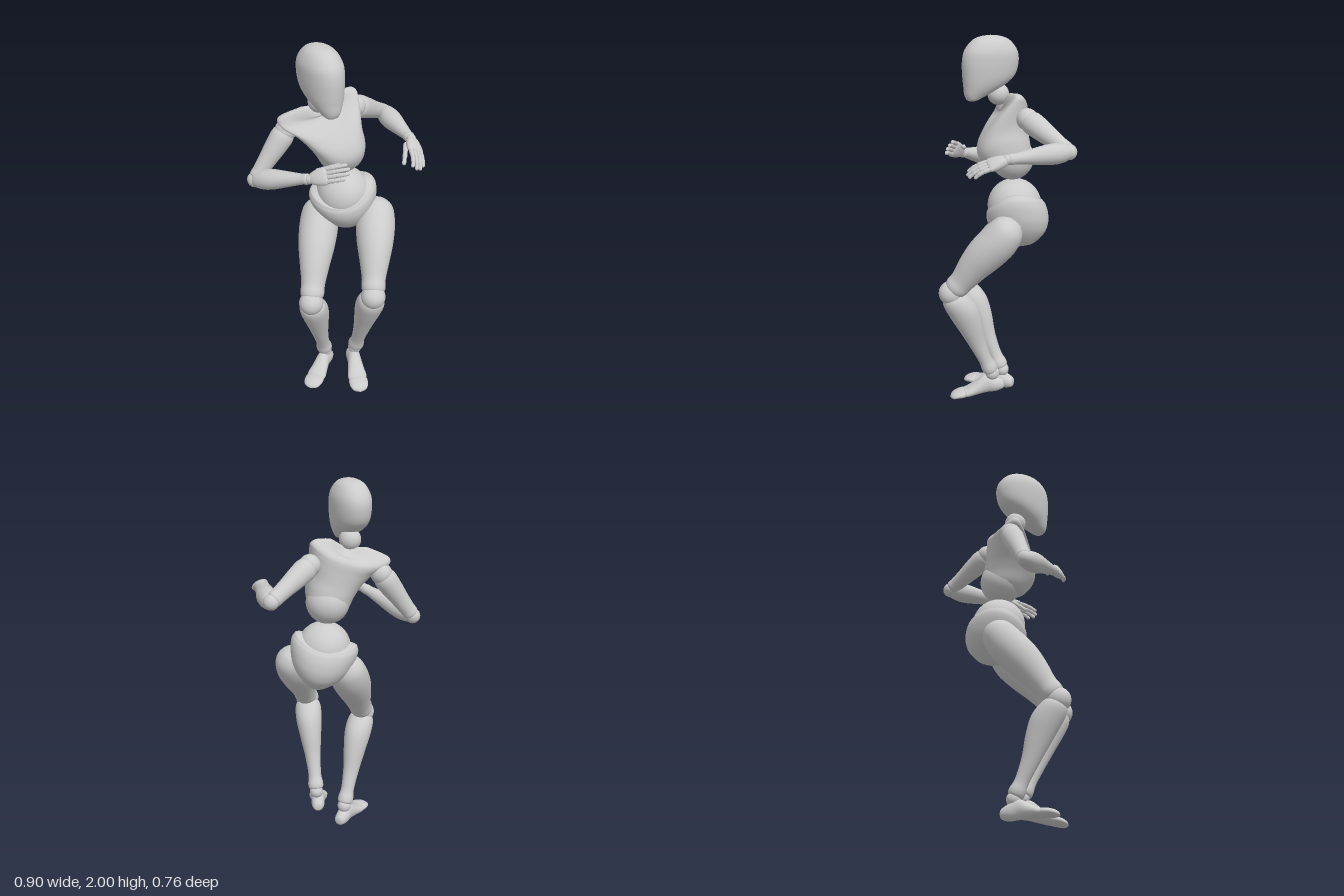
import * as THREE from 'three';

const V = (a) => new THREE.Vector3(...a);
const grey = new THREE.MeshStandardMaterial({ color: 0xcccccc, roughness: 0.7 });

// Matrix at origin o: Y along `up`, Z as near to `front` as possible
function frame(o, up, front) {
  const y = V(up).normalize();
  const x = y.clone().cross(V(front)).normalize();
  const z = x.clone().cross(y);
  return new THREE.Matrix4().makeBasis(x, y, z).setPosition(V(o));
}

// Smooth closed skin through sections [y, rx, rz, cz, cx]; saddle lifts the sides
function loft(sections, { n = 36, rows = 40, p = 2, saddle = 0 } = {}) {
  const spline = (f) => new THREE.CatmullRomCurve3(sections.map(f), false, 'catmullrom', 0.5);
  const size = spline((s) => new THREE.Vector3(s[0], s[1], s[2]));
  const mid = spline((s) => new THREE.Vector3(s[4] || 0, 0, s[3] || 0));
  const pos = [], idx = [];
  const pw = (v) => Math.sign(v) * Math.abs(v) ** (2 / p);
  for (let i = 0; i <= rows; i++) {
    const t = i / rows, s = size.getPoint(t), c = mid.getPoint(t);
    for (let j = 0; j < n; j++) {
      const a = (j / n) * Math.PI * 2, k = Math.cos(a), q = Math.sin(a);
      const lift = saddle * t * (k * k - 0.5) * Math.min(1, s.y / 0.1);
      pos.push(c.x + Math.max(s.y, 0.0005) * pw(k), s.x + lift, c.z + Math.max(s.z, 0.0005) * pw(q));
      if (i < rows) {
        const b = i * n + j, d = i * n + ((j + 1) % n);
        idx.push(b, b + n, d, d, b + n, d + n);
      }
    }
  }
  const g = new THREE.BufferGeometry();
  g.setAttribute('position', new THREE.Float32BufferAttribute(pos, 3));
  g.setIndex(idx);
  g.computeVertexNormals();
  return g;
}

function add(parent, name, geometry, matrix) {
  const m = new THREE.Mesh(geometry, grey);
  m.name = name;
  if (matrix) m.applyMatrix4(matrix);
  parent.add(m);
  return m;
}

function ball(parent, name, c, r) {
  add(parent, name, new THREE.SphereGeometry(r, 32, 20)).position.set(...c);
}

// Limb from a to b; profile rows are [fraction of length, rx, rz, cz]
function limb(parent, name, a, b, front, profile) {
  const d = V(b).sub(V(a)), len = d.length();
  const rows = profile.map(([t, ...rest]) => [t * len, ...rest]);
  add(parent, name, loft(rows), frame(a, d.toArray(), front));
}

const THIGH = [[-0.11, 0, 0, 0.008], [-0.09, 0.045, 0.042, 0.008], [0, 0.09, 0.085, 0.007], [0.18, 0.105, 0.102, 0.003],
  [0.4, 0.098, 0.1, 0.008], [0.6, 0.081, 0.085, 0.008], [0.8, 0.064, 0.067], [0.9, 0.064, 0.064], [0.95, 0.05, 0.05], [0.96, 0, 0]];
const SHIN = [[0.02, 0, 0], [0.03, 0.054, 0.05], [0.1, 0.073, 0.072, -0.005], [0.24, 0.073, 0.08, -0.016], [0.42, 0.06, 0.068, -0.014],
  [0.62, 0.045, 0.048, -0.004], [0.82, 0.037, 0.037], [0.92, 0.044, 0.043], [0.97, 0.036, 0.036], [0.98, 0, 0]];
const UPPER_ARM = [[0, 0, 0], [0.02, 0.045, 0.045], [0.12, 0.06, 0.06], [0.35, 0.056, 0.056], [0.6, 0.047, 0.048],
  [0.82, 0.041, 0.043], [0.95, 0.038, 0.039], [0.99, 0, 0]];
const FOREARM = [[-0.03, 0, 0], [0.02, 0.038, 0.038], [0.17, 0.052, 0.052], [0.34, 0.054, 0.052], [0.58, 0.043, 0.041],
  [0.85, 0.03, 0.028], [0.97, 0.027, 0.026], [1, 0, 0]];
const FOOT = [[-0.07, 0, 0, 0.04], [-0.062, 0.026, 0.026, 0.04], [-0.02, 0.038, 0.044, 0.046], [0.03, 0.038, 0.052, 0.056],
  [0.09, 0.046, 0.037, 0.039], [0.135, 0.053, 0.027, 0.028], [0.158, 0.043, 0.021, 0.026], [0.162, 0, 0, 0.026]];
const TOES = [[0.138, 0, 0, 0.024], [0.15, 0.047, 0.022, 0.025], [0.19, 0.052, 0.022, 0.023], [0.225, 0.037, 0.015, 0.017],
  [0.24, 0, 0, 0.013]];
const PALM = [[-0.005, 0, 0], [0.0, 0.022, 0.018], [0.03, 0.037, 0.025], [0.07, 0.045, 0.022], [0.097, 0.042, 0.014], [0.105, 0, 0]];

// Row of jointed finger segments curling towards the palm (-z)
function finger(hand, name, base, dir, lengths, r, curl) {
  const p = V(base), d = V(dir).normalize();
  lengths.forEach((len, i) => {
    const rr = r * (1 - 0.1 * i);
    const seg = add(hand, name + 'Segment' + (i + 1), new THREE.CapsuleGeometry(rr, len - rr, 4, 12));
    seg.quaternion.setFromUnitVectors(new THREE.Vector3(0, 1, 0), d);
    seg.position.copy(p).addScaledVector(d, len / 2);
    p.addScaledVector(d, len);
    d.applyAxisAngle(new THREE.Vector3(1, 0, 0), -curl);
  });
}

function makeHand(parent, name, wrist, dir, dorsal, side) {
  const hand = new THREE.Group();
  hand.name = name;
  hand.applyMatrix4(frame(wrist, dir, dorsal));
  parent.add(hand);
  ball(hand, 'wristBall', [0, 0, 0], 0.026);
  add(hand, 'palm', loft(PALM, { rows: 24, p: 2.3 }));
  ['index', 'middle', 'ring', 'little'].forEach((f, i) => {
    const k = [0.95, 1.05, 1, 0.82][i];
    finger(hand, f + 'Finger', [side * (0.031 - 0.0205 * i), i === 3 ? 0.093 : 0.099, 0],
      [side * (0.02 - 0.02 * i), 1, -0.05], [0.046 * k, 0.036 * k, 0.028 * k], 0.0118, 0.24);
  });
  finger(hand, 'thumb', [side * 0.033, 0.035, -0.014], [side * 0.1, 0.9, -0.38], [0.048, 0.04, 0.032], 0.0135, 0.06);
}

export function createModel() {
  const model = new THREE.Group();
  model.name = 'jointedFigure';

  // Head and neck
  add(model, 'head', loft([[0, 0, 0, 0.108], [0.006, 0.032, 0.026, 0.106], [0.035, 0.055, 0.066, 0.08], [0.08, 0.08, 0.114, 0.036],
    [0.13, 0.094, 0.146, 0.008], [0.2, 0.1, 0.157, -0.002], [0.26, 0.096, 0.146, -0.004], [0.31, 0.072, 0.106, -0.004],
    [0.332, 0.04, 0.06, -0.003], [0.34, 0, 0, -0.003]], { n: 48, rows: 60, p: 2.15 }),
    frame([-0.075, 1.66, 0.13], [0, 1, 0], [0.64, 0, 0.77]));
  ball(model, 'neckBall', [-0.09, 1.69, 0.09], 0.058);

  // Chest shell, reaching out over the shoulders, with its rib ball
  add(model, 'chest', loft([[-0.06, 0, 0, 0.015], [-0.055, 0.075, 0.08, 0.015], [-0.02, 0.113, 0.12, 0.02], [0.05, 0.132, 0.14, 0.032],
    [0.12, 0.148, 0.134, 0.025, -0.01], [0.19, 0.18, 0.112, -0.002, -0.02], [0.235, 0.21, 0.09, -0.028, -0.035],
    [0.262, 0.217, 0.07, -0.044, -0.038], [0.283, 0.19, 0.053, -0.044, -0.038], [0.295, 0.1, 0.035, -0.025, -0.02],
    [0.3, 0, 0, -0.015, -0.01]], { n: 48, rows: 60, p: 2.25, saddle: 0.075 }),
    frame([0, 1.37, 0], [-0.2, 0.95, 0.2], [0.46, 0, 0.88]));
  ball(model, 'ribBall', [0, 1.37, -0.005], 0.116);

  // Abdomen ball in the pelvis shell
  ball(model, 'abdomenBall', [0.015, 1.116, -0.022], 0.144);
  add(model, 'pelvis', loft([[-0.165, 0, 0, -0.01], [-0.16, 0.045, 0.05, -0.012], [-0.11, 0.112, 0.112, -0.016],
    [-0.055, 0.153, 0.148, -0.01], [0, 0.174, 0.163, -0.003], [0.045, 0.182, 0.162], [0.075, 0.175, 0.152], [0.09, 0.145, 0.13],
    [0.092, 0, 0]], { n: 48, rows: 48, saddle: 0.06 }),
    frame([0.022, 1.06, -0.037], [-0.15, 0.96, 0.2], [0.22, 0, 0.97]));

  // Legs
  const legs = [
    { s: 'left', hip: [0.19, 1.03, -0.04], knee: [0.222, 0.665, 0.28], ankle: [0.1, 0.165, 0.085],
      sole: [0.09, 0.048, 0.085], toe: [0.31, -0.14, 0.93], face: [0.25, 0, 1] },
    { s: 'right', hip: [-0.107, 1.01, -0.02], knee: [-0.107, 0.61, 0.31], ankle: [-0.075, 0.11, 0.07],
      sole: [-0.075, 0, 0.07], toe: [-0.2, 0, 0.98], face: [-0.1, 0, 1] },
  ];
  for (const l of legs) {
    limb(model, l.s + 'Thigh', l.hip, l.knee, l.face, THIGH);
    ball(model, l.s + 'KneeBall', l.knee, 0.065);
    limb(model, l.s + 'Shin', l.knee, l.ankle, l.face, SHIN);
    ball(model, l.s + 'AnkleBall', l.ankle, 0.038);
    const m = frame(l.sole, l.toe, [0, 1, 0]);
    add(model, l.s + 'Foot', loft(FOOT), m);
    add(model, l.s + 'Toes', loft(TOES, { rows: 24 }), m);
  }

  // Arms
  const arms = [
    { s: 'left', shoulder: [0.065, 1.59, -0.1], elbow: [0.185, 1.455, -0.34], wrist: [0.362, 1.44, -0.062],
      dir: [0.35, -0.27, 0.9], dorsal: [0.5, 0.85, 0.06], thumb: 1 },
    { s: 'right', shoulder: [-0.262, 1.52, 0.092], elbow: [-0.412, 1.273, 0.19], wrist: [-0.103, 1.362, 0.303],
      dir: [0.92, 0.38, 0.17], dorsal: [-0.13, 0.5, 0.85], thumb: -1 },
  ];
  for (const a of arms) {
    ball(model, a.s + 'ShoulderBall', a.shoulder, 0.057);
    limb(model, a.s + 'UpperArm', a.shoulder, a.elbow, [0.3, 1, 0.3], UPPER_ARM);
    ball(model, a.s + 'ElbowBall', a.elbow, 0.041);
    limb(model, a.s + 'Forearm', a.elbow, a.wrist, [0, 1, 0], FOREARM);
    makeHand(model, a.s + 'Hand', a.wrist, a.dir, a.dorsal, a.thumb);
  }
  return model;
}
